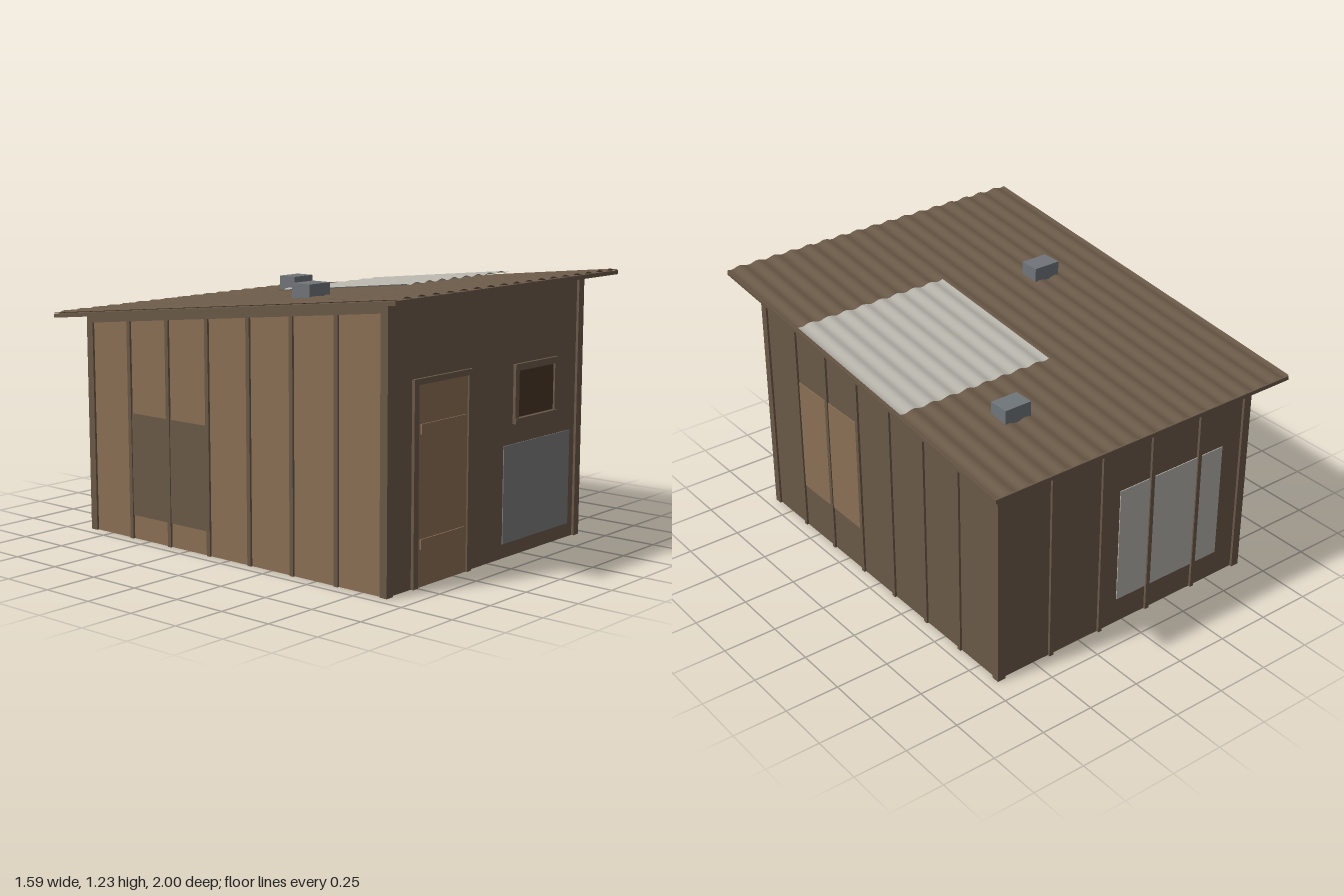
import * as THREE from 'three';

const mat = (name, color) => {
  const m = new THREE.MeshStandardMaterial({ color, side: THREE.DoubleSide });
  m.name = name;
  return m;
};

export function createModel() {
  const brown = mat('brown timber', 0x6a5947);
  const tan = mat('tan timber', 0x8a6f54);
  const dark = mat('dark window', 0x483625);
  const grey = mat('grey panel', 0x7b7b7b);
  const steel = mat('vent metal', 0x70757a);
  const pale = mat('pale sheet', 0xb6b3aa);

  const model = new THREE.Group();
  model.name = 'shed';
  const SLOPE = 0.105;
  const under = (z) => 1.095 + SLOPE * z; // underside of the roof

  const add = (name, geo, material) => {
    const mesh = new THREE.Mesh(geo, material);
    mesh.name = name;
    model.add(mesh);
    return mesh;
  };
  const boxGeo = (x0, x1, y0, y1, z0, z1) =>
    new THREE.BoxGeometry(x1 - x0, y1 - y0, z1 - z0).translate((x0 + x1) / 2, (y0 + y1) / 2, (z0 + z1) / 2);
  const box = (name, material, ...b) => add(name, boxGeo(...b), material);

  // Move vertices by a rule y = f(x, y, z)
  const reshape = (geo, f) => {
    const p = geo.attributes.position;
    for (let i = 0; i < p.count; i++) p.setY(i, f(p.getX(i), p.getY(i), p.getZ(i)));
    geo.computeVertexNormals();
    return geo;
  };
  // A box whose y values are measured from the sloping roof underside
  const sloped = (name, material, ...b) =>
    add(name, reshape(boxGeo(...b), (x, y, z) => under(z) + y), material);

  // Walls
  const W = 0.69, F = 0.873;
  const side = new THREE.Shape([
    new THREE.Vector2(-F, 0), new THREE.Vector2(F, 0),
    new THREE.Vector2(F, under(-F)), new THREE.Vector2(-F, under(F)),
  ]);
  const sideGeo = (x) => new THREE.ShapeGeometry(side).rotateY(Math.PI / 2).translate(x, 0, 0);
  add('leftWall', sideGeo(W), brown);
  add('rightWall', sideGeo(-W), tan);
  for (const s of [1, -1]) {
    const h = under(s * F);
    const geo = new THREE.PlaneGeometry(2 * W, h);
    if (s < 0) geo.rotateY(Math.PI);
    add(s > 0 ? 'frontWall' : 'backWall', geo.translate(0, h / 2, s * F), brown);
  }

  // Corner posts, side studs and top rails
  for (const s of [1, -1]) {
    const x0 = s > 0 ? 0.68 : -0.7, x1 = x0 + 0.02;
    for (let i = -2.5; i <= 2.5; i++) {
      const z = i * 0.245 + 0.0025;
      box('sideStud', brown, x0, x1, 0, under(z) - 0.03, z - 0.01, z + 0.01);
    }
    sloped('topRail', brown, x0, x1, -0.035, 0, -0.885, 0.885);
    for (const t of [1, -1]) {
      const z = t * 0.866;
      box('cornerPost', brown, s * 0.68 - 0.02, s * 0.68 + 0.02, 0, under(z) - 0.002, z - 0.019, z + 0.019);
    }
  }
  // Back studs
  for (const x of [-0.41, -0.137, 0.137, 0.41])
    box('backStud', brown, x - 0.01, x + 0.01, 0, under(-0.885), -0.885, -0.863);

  // Patch panels on the walls
  box('leftWallPatch', tan, W + 0.001, W + 0.005, 0.225, 0.78, 0.135, 0.6);
  box('rightWallPatch', brown, -W - 0.005, -W - 0.001, 0.11, 0.58, -0.62, -0.13);
  box('backWallPatch', pale, -0.55, 0.04, 0.125, 0.685, -F - 0.005, -F - 0.001);
  box('frontWallPatch', grey, 0.107, 0.617, 0.065, 0.5, F + 0.001, F + 0.005);

  // Door with frame and battens
  box('door', tan, -0.5, -0.163, 0, 0.845, F + 0.001, F + 0.006);
  box('doorFrameSide', brown, -0.53, -0.5, 0, 0.87, F - 0.004, 0.887);
  box('doorFrameSide', brown, -0.163, -0.135, 0, 0.87, F - 0.004, 0.887);
  box('doorFrameTop', brown, -0.5, -0.163, 0.845, 0.87, F - 0.004, 0.887);
  for (const y of [0.16, 0.64]) box('doorBatten', tan, -0.48, -0.182, y, y + 0.042, F - 0.01, 0.885);

  // Window with frame and sill
  box('windowPane', dark, 0.2, 0.477, 0.615, 0.82, F + 0.001, F + 0.005);
  box('windowFrameSide', brown, 0.175, 0.202, 0.612, 0.85, F, 0.887);
  box('windowFrameSide', brown, 0.477, 0.505, 0.612, 0.85, F, 0.887);
  box('windowFrameTop', brown, 0.202, 0.477, 0.82, 0.85, F, 0.887);
  box('windowSill', brown, 0.175, 0.505, 0.588, 0.612, F, 0.892);

  // Roof deck with corrugated sheets over it
  sloped('roofDeck', brown, -0.797, 0.797, 0, 0.018, -1, 1);
  const sheet = (name, material, x0, x1, z0, z1, lift) => {
    const geo = new THREE.PlaneGeometry(x1 - x0, z1 - z0, Math.round((x1 - x0) * 88), 1)
      .rotateX(-Math.PI / 2).translate((x0 + x1) / 2, 0, (z0 + z1) / 2);
    reshape(geo, (x, y, z) => under(z) + lift + 0.005 * Math.cos((x * 2 * Math.PI) / 0.0914));
    add(name, geo, material);
  };
  sheet('corrugatedRoof', brown, -0.797, 0.797, -1, 1, 0.0245);
  sheet('skylight', pale, 0.02, 0.797, -0.365, 0.405, 0.038);

  // Roof vents
  box('roofVent', steel, -0.477, -0.343, 1.12, 1.205, 0.178, 0.277);
  box('roofVent', steel, 0.338, 0.47, 1.035, 1.12, -0.64, -0.543);

  return model;
}
